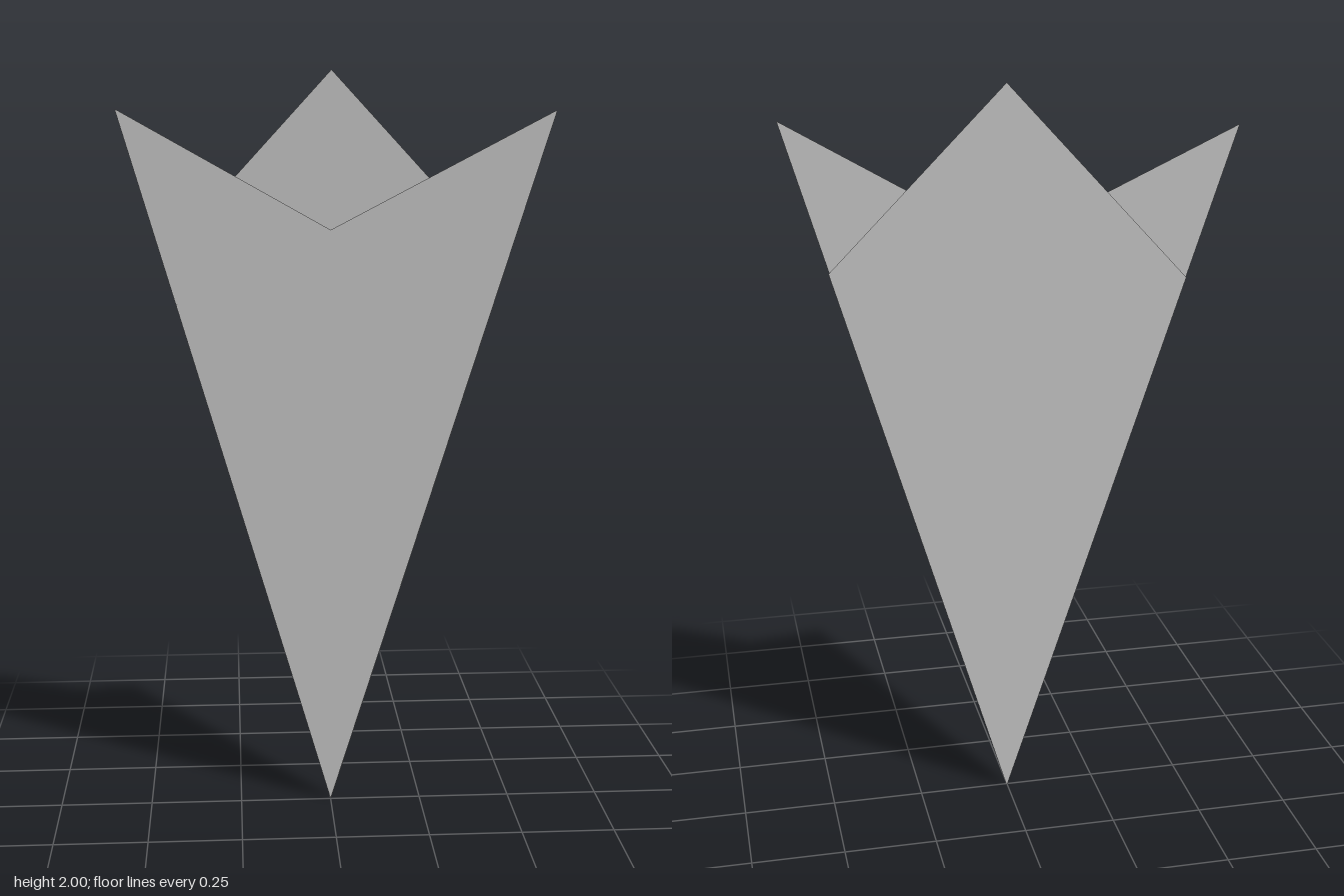
import * as THREE from 'three';

const material = new THREE.MeshStandardMaterial({ color: 0xcccccc, flatShading: true, side: THREE.DoubleSide });

const backZ = -0.011;
const frontZ = 0.001;
const middleZ = -0.001;
const shoulder = [0.461, 1.51]; // widest point of the back sheet
const tip = [0.58, 1.9]; // free tip of a flap
const foldEnd = [0.415, 1.37]; // upper end of the folded edge

function add(parent, name, geometry) {
  const mesh = new THREE.Mesh(geometry, material);
  mesh.name = name;
  parent.add(mesh);
  return mesh;
}

// Flat sheet cut to an outline
function sheet(points) {
  return new THREE.ShapeGeometry(new THREE.Shape(points.map(([x, y]) => new THREE.Vector2(x, y))));
}

// Narrow strip joining the back sheet to a flap along a folded edge
function foldStrip(side, z) {
  const corners = [
    0, 0, backZ,
    side * shoulder[0], shoulder[1], backZ,
    side * foldEnd[0], foldEnd[1], z,
    0, 0, z,
  ];
  const geometry = new THREE.BufferGeometry();
  geometry.setAttribute('position', new THREE.Float32BufferAttribute(corners, 3));
  geometry.setIndex(side > 0 ? [0, 1, 2, 0, 2, 3] : [0, 2, 1, 0, 3, 2]);
  geometry.computeVertexNormals();
  return geometry;
}

export function createModel() {
  const group = new THREE.Group();
  group.name = 'foldedPaperCone';

  const cone = new THREE.Group();
  cone.name = 'foldedSheets';
  cone.rotation.y = -0.244;
  group.add(cone);

  // Kite-shaped back sheet with the central peak
  const [sx, sy] = shoulder;
  add(cone, 'backSheet', sheet([[0, 0], [sx, sy], [0, 2], [-sx, sy]])).position.z = backZ;

  // Two crossing flaps, each folded over from the opposite edge
  for (const [name, side, z] of [['frontFlap', 1, frontZ], ['middleFlap', -1, middleZ]]) {
    const outline = [[0, 0], [side * tip[0], tip[1]], [-side * foldEnd[0], foldEnd[1]]];
    add(cone, name, sheet(outline)).position.z = z;
    add(cone, name + 'Fold', foldStrip(-side, z));
  }
  return group;
}
